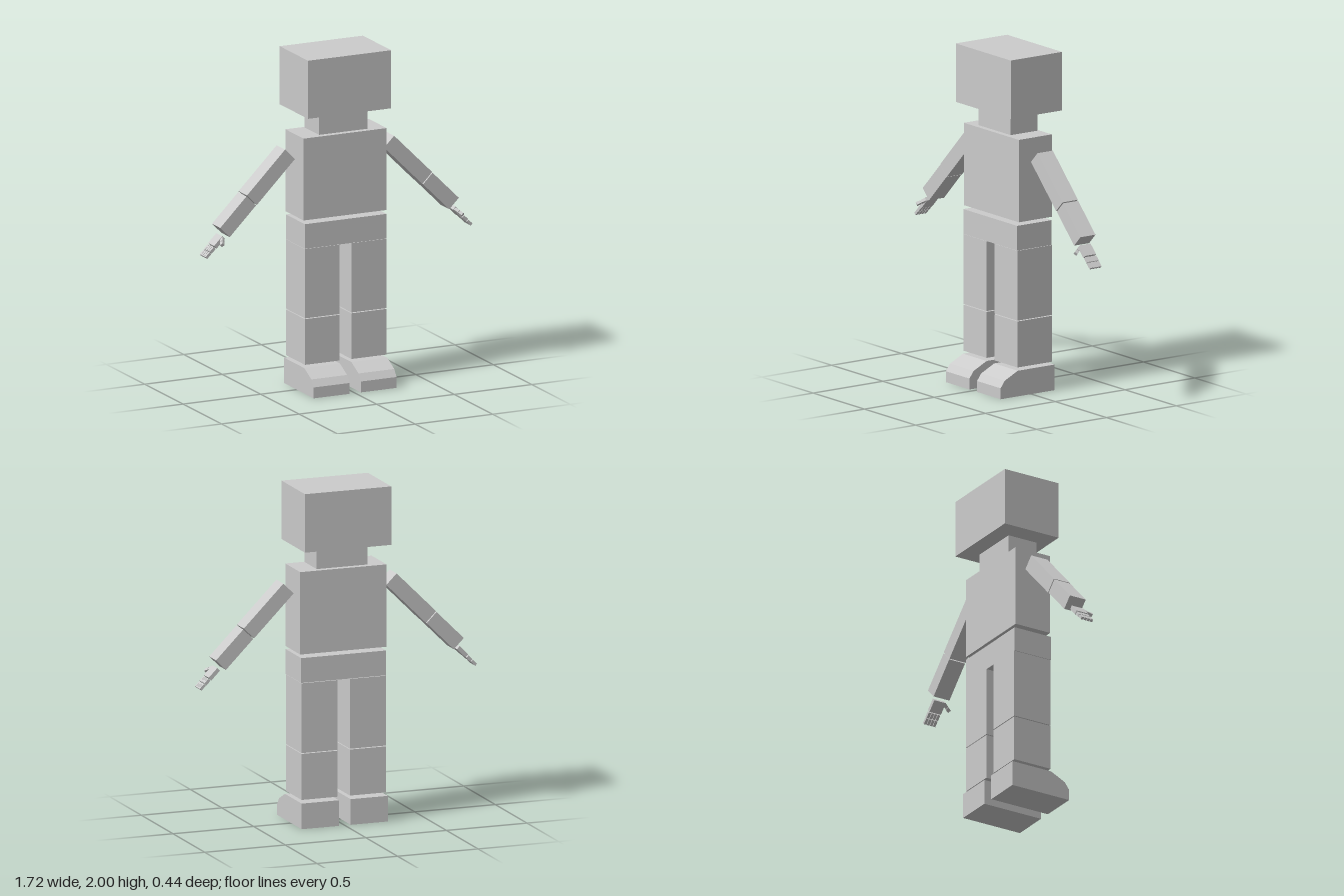
import * as THREE from 'three';

const grey = new THREE.MeshStandardMaterial({ color: 0xcccccc, flatShading: true });

// Box given by its extents along each axis
function block(name, [x0, x1], [y0, y1], [z0, z1]) {
  const mesh = new THREE.Mesh(new THREE.BoxGeometry(x1 - x0, y1 - y0, z1 - z0), grey);
  mesh.position.set((x0 + x1) / 2, (y0 + y1) / 2, (z0 + z1) / 2);
  mesh.name = name;
  return mesh;
}

// Foot: side profile with a bevelled toe, extruded across x
function foot(name, x0, x1) {
  const profile = [[-0.167, 0], [0.22, 0], [0.22, 0.065], [0.19, 0.106], [0.097, 0.152], [-0.167, 0.152]];
  const shape = new THREE.Shape(profile.map(([z, y]) => new THREE.Vector2(-z, y)));
  const geometry = new THREE.ExtrudeGeometry(shape, { depth: x1 - x0, bevelEnabled: false });
  geometry.rotateY(Math.PI / 2);
  const mesh = new THREE.Mesh(geometry, grey);
  mesh.position.x = x0;
  mesh.name = name;
  return mesh;
}

function leg(side, s) {
  const group = new THREE.Group();
  group.name = side + 'Leg';
  const span = (a, b) => (s > 0 ? [a, b] : [-b, -a]);
  const x = span(0.038, 0.262);
  group.add(
    block('thigh', x, [0.448, 0.862], [-0.152, 0.096]),
    block('shin', x, [0.17, 0.443], [-0.152, 0.096]),
    foot('foot', ...span(0.037, 0.267))
  );
  return group;
}

// Hand hangs along -y, with the thumb towards +z
function hand() {
  const group = new THREE.Group();
  group.name = 'hand';
  group.add(block('palm', [-0.012, 0.012], [-0.692, -0.617], [-0.068, 0.01]));
  for (let i = 0; i < 4; i++) {
    const z = [-0.068 + i * 0.0203, -0.051 + i * 0.0203];
    group.add(
      block('fingerBase', [-0.009, 0.009], [-0.733, -0.698], z),
      block('fingerTip', [-0.008, 0.008], [-0.774, -0.737], z)
    );
  }
  const thumb = new THREE.Group();
  thumb.name = 'thumb';
  thumb.add(
    block('thumbBase', [-0.009, 0.009], [-0.03, 0], [-0.01, 0.01]),
    block('thumbTip', [-0.009, 0.009], [-0.06, -0.033], [-0.01, 0.01])
  );
  thumb.position.set(0, -0.627, 0.008);
  thumb.rotation.x = -0.95;
  group.add(thumb);
  return group;
}

// Arm hangs along -y from the shoulder, then swings out sideways
function arm(side, s) {
  const group = new THREE.Group();
  group.name = side + 'Arm';
  group.add(
    block('upperArm', [-0.045, 0.045], [-0.347, 0], [-0.092, 0.018]),
    block('forearm', [-0.0435, 0.0435], [-0.592, -0.353], [-0.091, 0.017])
  );
  const h = hand();
  h.position.x = -0.017 * s;
  group.add(h);
  group.position.set(0.3195 * s, 1.4165, 0);
  group.rotation.z = (s * Math.PI) / 4;
  return group;
}

export function createModel() {
  const model = new THREE.Group();
  model.name = 'blockFigure';
  model.add(
    block('head', [-0.268, 0.268], [1.653, 2], [-0.22, 0.148]),
    block('neck', [-0.157, 0.157], [1.525, 1.645], [-0.124, 0.067]),
    block('torso', [-0.268, 0.268], [1.032, 1.521], [-0.146, 0.09]),
    block('pelvis', [-0.263, 0.263], [0.864, 1.011], [-0.149, 0.098])
  );
  for (const [side, s] of [['left', 1], ['right', -1]]) {
    model.add(arm(side, s), leg(side, s));
  }
  return model;
}
